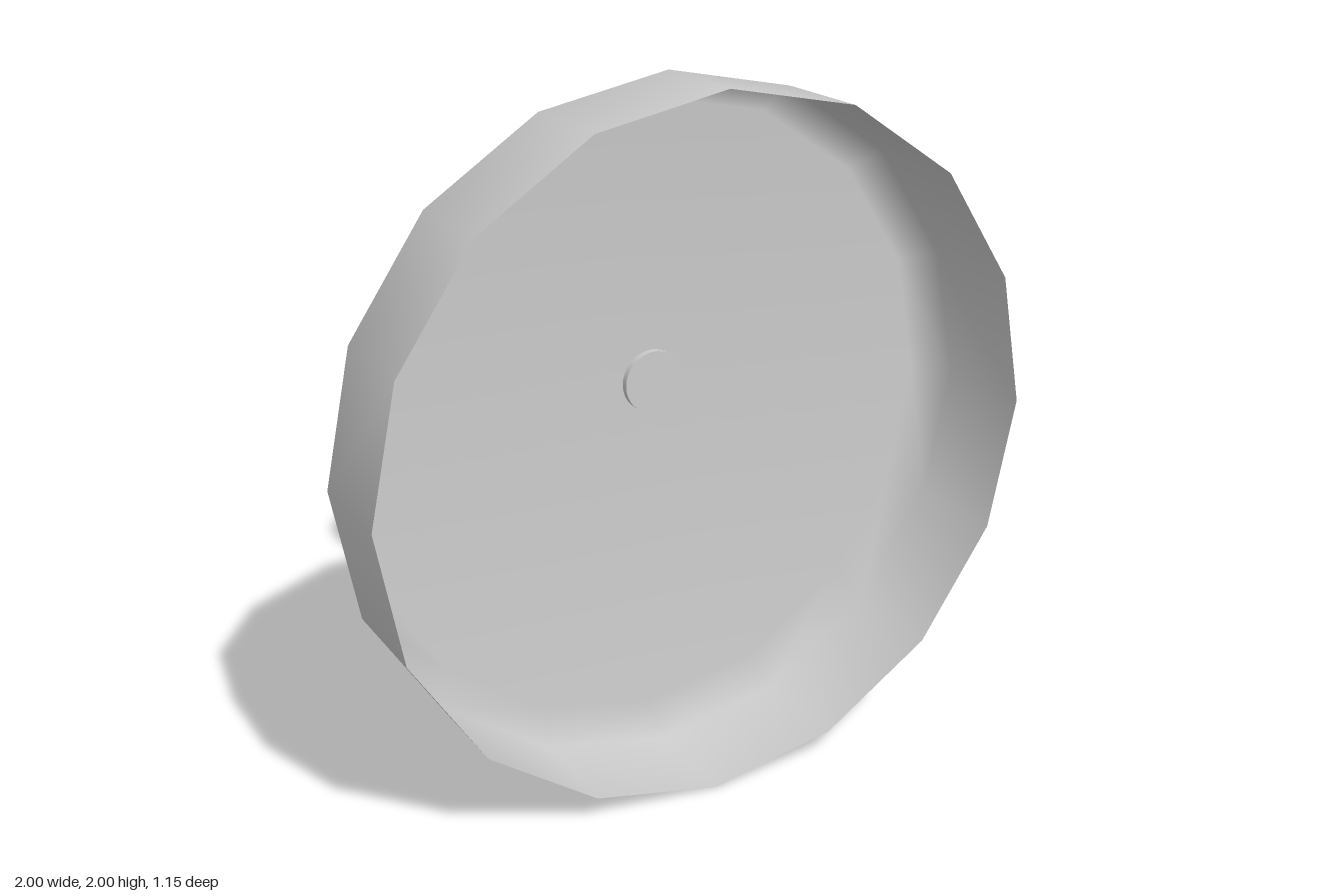
import * as THREE from 'three';
import { toCreasedNormals } from 'three/addons/utils/BufferGeometryUtils.js';

const solid = new THREE.MeshStandardMaterial({ color: 0xcccccc });
const thin = new THREE.MeshStandardMaterial({ color: 0xcccccc, side: THREE.DoubleSide });

const lathe = (points, sides) =>
  new THREE.LatheGeometry(points.map(([r, y]) => new THREE.Vector2(r, y)), sides);

function add(parent, name, geometry, material) {
  const mesh = new THREE.Mesh(geometry, material);
  mesh.name = name;
  parent.add(mesh);
  return mesh;
}

export function createModel() {
  const model = new THREE.Group();
  model.name = 'dishWithHorn';

  // Open, thin dish facing the front, with a bevelled back
  const dish = add(model, 'dish',
    lathe([[0, 0.18], [0.915, 0.18], [1, 0.265], [1, 0.575]], 16), thin);
  dish.rotation.x = Math.PI / 2;
  dish.position.y = 1;

  // Pin passing through the dish into the handle
  const pin = add(model, 'pin', new THREE.CylinderGeometry(0.09, 0.09, 0.4, 32), solid);
  pin.rotation.x = Math.PI / 2;
  pin.position.set(0, 1.11, 0);

  // Tapered handle and its cup lean backwards together
  const holder = new THREE.Group();
  holder.name = 'holder';
  holder.position.set(0, 0.278, -0.122);
  holder.rotation.x = -0.156;
  model.add(holder);

  const handle = add(holder, 'handle', new THREE.CylinderGeometry(0.17, 0.068, 1.217, 32), solid);
  handle.geometry.translate(0, 1.217 / 2, 0);

  // Collar ring with a bevelled underside and a shallow recess
  add(holder, 'collar', toCreasedNormals(
    lathe([[0.165, 1.118], [0.255, 1.15], [0.255, 1.277], [0.2, 1.277], [0.17, 1.215]], 16), 0.6), thin);

  return model;
}
